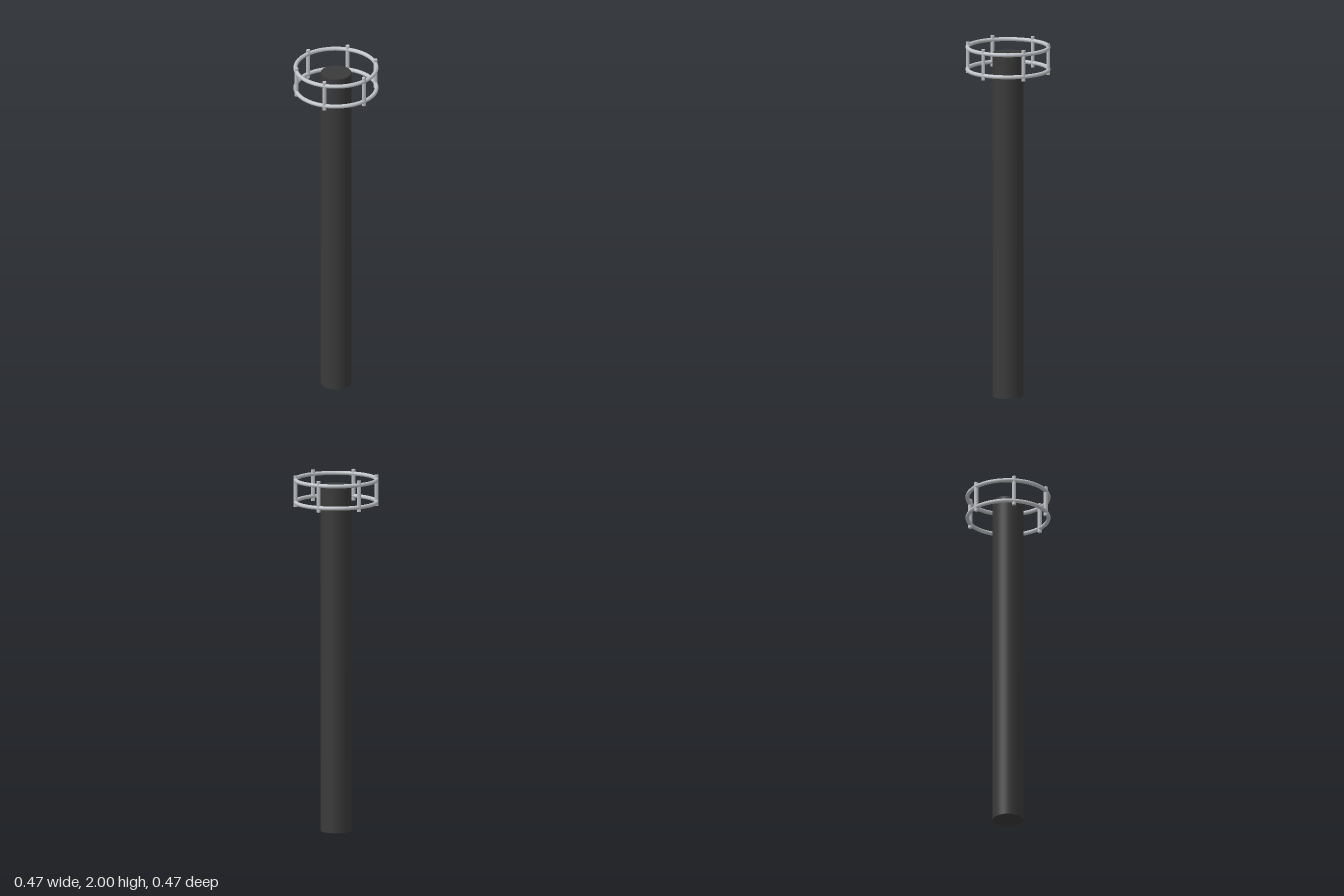
import * as THREE from 'three';

export function createModel() {
  const group = new THREE.Group();
  const darkColumn = new THREE.MeshStandardMaterial({ name: 'darkColumn', color: 0x3a3a3a });
  const paleMetal = new THREE.MeshStandardMaterial({ name: 'paleMetal', color: 0xc0c3c7 });

  const add = (name, geometry, material, x, y, z) => {
    const mesh = new THREE.Mesh(geometry, material);
    mesh.name = name;
    mesh.position.set(x, y, z);
    group.add(mesh);
    return mesh;
  };

  // Tall round column
  const columnHeight = 1.945;
  add('column', new THREE.CylinderGeometry(0.085, 0.085, columnHeight, 48), darkColumn, 0, columnHeight / 2, 0);

  // Two guard rings around the column top
  const ringRadius = 0.225;
  const ring = new THREE.TorusGeometry(ringRadius, 0.0115, 12, 64).rotateX(-Math.PI / 2);
  add('lowerRing', ring, paleMetal, 0, 1.85, 0);
  add('upperRing', ring, paleMetal, 0, 1.975, 0);

  // Six short hexagonal posts joining the rings
  const post = new THREE.CylinderGeometry(0.0115, 0.0115, 0.175, 6);
  for (let i = 0; i < 6; i++) {
    const a = (i * Math.PI) / 3;
    add(`post${i + 1}`, post, paleMetal, Math.cos(a) * ringRadius, 1.9125, Math.sin(a) * ringRadius);
  }
  return group;
}
